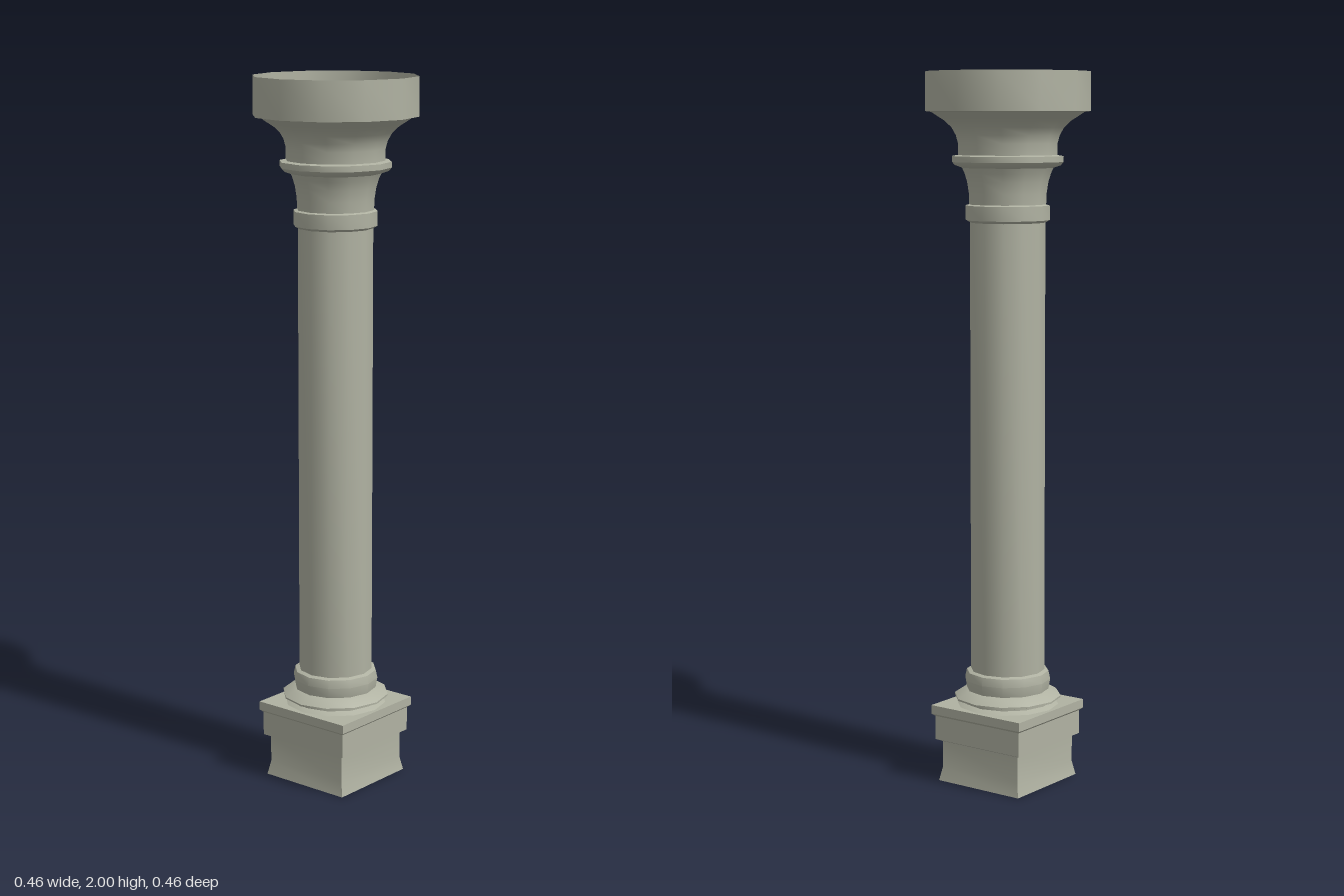
import * as THREE from 'three';
import { toCreasedNormals } from 'three/addons/utils/BufferGeometryUtils.js';

export function createModel() {
  const column = new THREE.Group();
  column.name = 'column';
  const stone = new THREE.MeshStandardMaterial({ color: 0xb0b2a2, side: THREE.DoubleSide });
  stone.name = 'stone';

  function add(name, geometry) {
    const mesh = new THREE.Mesh(geometry, stone);
    mesh.name = name;
    column.add(mesh);
    return mesh;
  }

  // Turned shell from [radius, height] pairs, listed bottom to top
  function turned(name, profile, sides = 12) {
    const points = profile.map(([r, y]) => new THREE.Vector2(r, y));
    return add(name, toCreasedNormals(new THREE.LatheGeometry(points, sides), 0.62));
  }

  // Square shell from [half width, height] pairs
  function square(name, profile) {
    const geometry = new THREE.LatheGeometry(
      profile.map(([w, y]) => new THREE.Vector2(w * Math.SQRT2, y)), 4);
    geometry.rotateY(Math.PI / 4);
    return add(name, toCreasedNormals(geometry, 0.3));
  }

  // Hollow square plinth with flared foot and stepped top
  square('plinth', [
    [0.14, 0], [0.132, 0.04], [0.132, 0.115], [0.147, 0.122], [0.147, 0.19],
    [0.155, 0.197], [0.155, 0.222],
  ]);
  const plinthTop = add('plinthTop', new THREE.PlaneGeometry(0.31, 0.31));
  plinthTop.rotation.x = -Math.PI / 2;
  plinthTop.position.y = 0.222;

  // Round base mouldings
  turned('baseMoulding', [
    [0.145, 0.222], [0.127, 0.23], [0.127, 0.235], [0.152, 0.242], [0.152, 0.247],
    [0.127, 0.262], [0.117, 0.266], [0.122, 0.295], [0.117, 0.318], [0.105, 0.322],
  ]);

  // Shaft, closed at the top
  turned('shaft', [[0.105, 0.322], [0.105, 1.6]]);
  const shaftTop = add('shaftTop', new THREE.CircleGeometry(0.105, 12));
  shaftTop.rotation.x = -Math.PI / 2;
  shaftTop.position.y = 1.6;

  // Collar band and flaring neck
  turned('collar', [
    [0.105, 1.588], [0.117, 1.595], [0.117, 1.635], [0.107, 1.638],
  ]);
  turned('neck', [
    [0.107, 1.638], [0.108, 1.668], [0.113, 1.7], [0.12, 1.723], [0.127, 1.738],
  ]);

  // Projecting ring between neck and capital
  turned('capitalRing', [
    [0.127, 1.738], [0.147, 1.745], [0.155, 1.754], [0.155, 1.77], [0.138, 1.773],
  ]);

  // Open bowl of the capital, with its outward lip and upright drum
  turned('capitalBowl', [
    [0.138, 1.773], [0.138, 1.805], [0.144, 1.827], [0.156, 1.848],
    [0.175, 1.866], [0.197, 1.88], [0.212, 1.89],
  ]);
  turned('capitalDrum', [[0.212, 1.89], [0.229, 1.892], [0.229, 2]]);

  return column;
}
